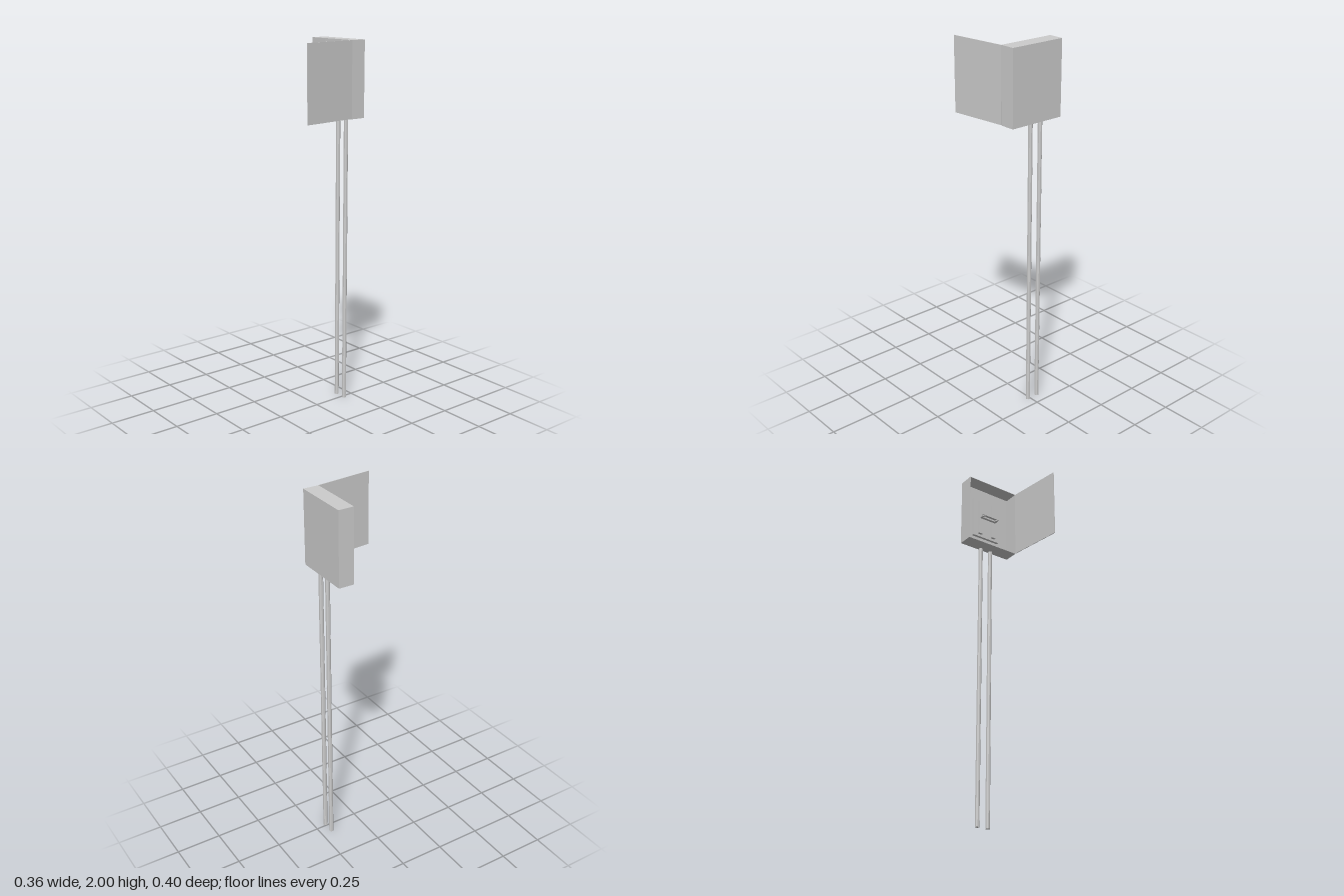
import * as THREE from 'three';

export function createModel() {
  const model = new THREE.Group();
  const material = new THREE.MeshStandardMaterial({ color: 0xcccccc, flatShading: true });

  // Box given by its lower and upper corners
  function box(name, [x0, y0, z0], [x1, y1, z1], parent = model) {
    const mesh = new THREE.Mesh(new THREE.BoxGeometry(x1 - x0, y1 - y0, z1 - z0), material);
    mesh.position.set((x0 + x1) / 2, (y0 + y1) / 2, (z0 + z1) / 2);
    mesh.name = name;
    parent.add(mesh);
    return mesh;
  }

  // Thin-walled cabinet, open at the front
  const L = -0.18, R = 0.14, B = 1.6, T = 2, back = -0.2, front = -0.115, t = 0.002;
  const cabinet = new THREE.Group();
  cabinet.name = 'cabinet';
  model.add(cabinet);
  box('backWall', [L, B, back], [R, T, back + t], cabinet);
  box('rightWall', [L, B, back + t], [L + t, T, front], cabinet);
  box('leftWall', [R - t, B, back + t], [R, T, front], cabinet);
  box('floor', [L + t, B, back + t], [R - t, B + t, front], cabinet);
  box('roof', [L + t, T - t, back + t], [R - t, T, front], cabinet);

  // Door swung open on the left edge
  const hinge = new THREE.Group();
  hinge.name = 'door';
  hinge.position.set(R, 0, front);
  hinge.rotation.y = Math.atan2(0.036, 0.315);
  box('doorPanel', [-0.001, B + 0.002, 0], [0.002, T, 0.317], hinge);
  model.add(hinge);

  // Switch: base plate, two contact bars and a bridging handle
  box('switchPlate', [-0.106, 1.677, back + t], [0.066, 1.922, -0.183]);
  for (const x of [-0.064, 0.026]) {
    box('contactBar', [x - 0.013, 1.692, -0.183], [x + 0.013, 1.906, -0.17]);
    box('handleArm', [x - 0.008, 1.79, -0.17], [x + 0.008, 1.804, -0.14]);
  }
  box('switchHandle', [-0.075, 1.796, -0.15], [0.037, 1.812, -0.135]);
  box('handleBrace', [-0.06, 1.787, -0.165], [0.022, 1.795, -0.15]);

  // Conduits rising from the ground into the cabinet
  for (const x of [-0.052, 0.012]) {
    const pipe = new THREE.Mesh(new THREE.CylinderGeometry(0.012, 0.012, 1.65, 8), material);
    pipe.position.set(x, 0.825, -0.187);
    pipe.rotation.y = Math.PI / 8;
    pipe.name = 'conduit';
    model.add(pipe);
  }
  return model;
}
